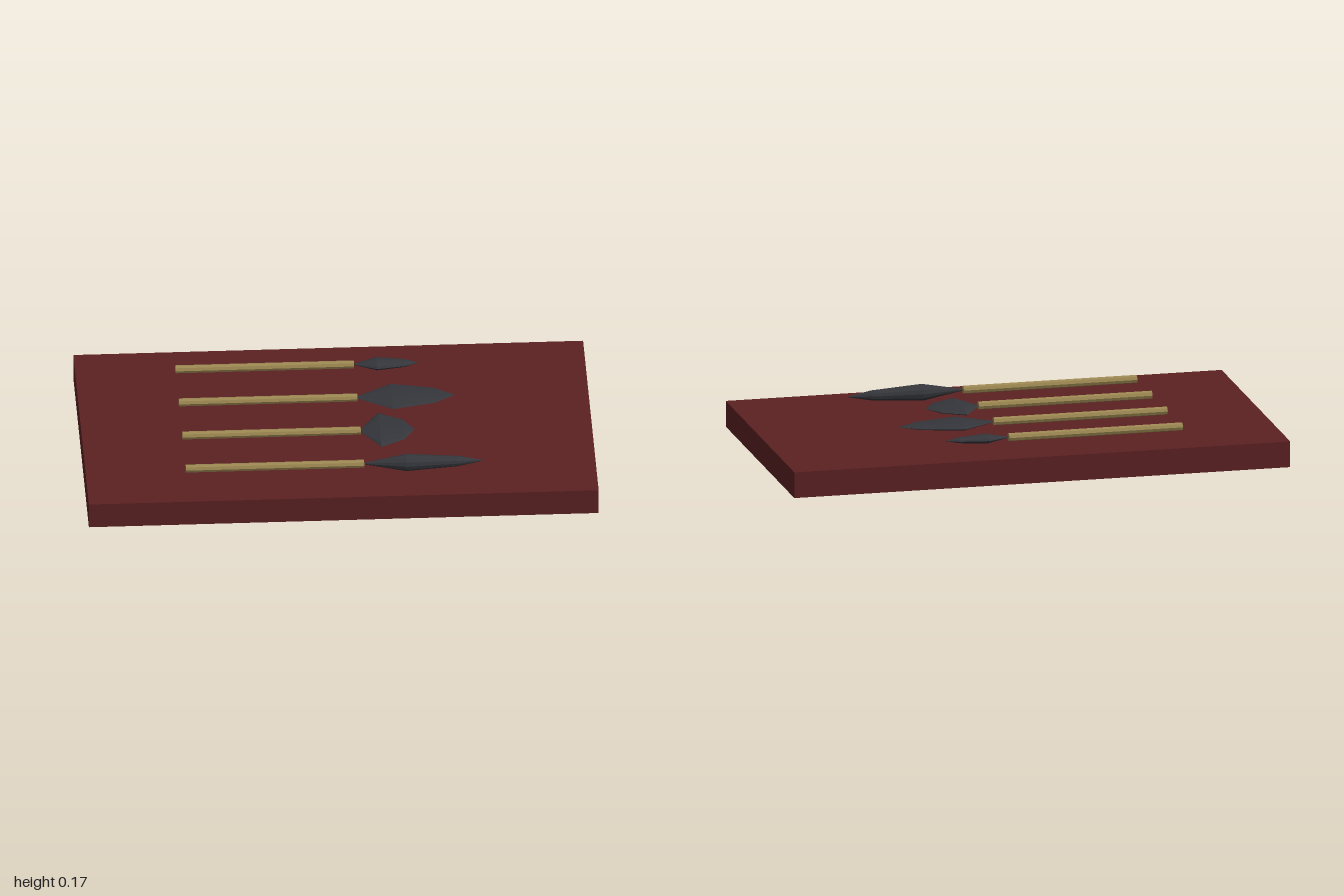
import * as THREE from 'three';

export function createModel() {
  const group = new THREE.Group();
  const mat = (name, color) => {
    const m = new THREE.MeshStandardMaterial({ color, flatShading: true });
    m.name = name;
    return m;
  };
  const boardRed = mat('dark red board', 0x5c2122);
  const wood = mat('pale wood', 0x9c8752);
  const iron = mat('dark iron', 0x34363b);

  const add = (name, geometry, material, x, y, z) => {
    const mesh = new THREE.Mesh(geometry, material);
    mesh.name = name;
    mesh.position.set(x, y, z);
    group.add(mesh);
  };

  // Display board
  add('displayBoard', new THREE.BoxGeometry(2, 0.104, 1.13), boardRed, 0, 0.052, 0);

  // Shaft and arrowhead both lie along +x
  const y = 0.141, neck = 0.09, shaftLength = 0.7;
  const shaft = new THREE.CylinderGeometry(0.0163, 0.0163, shaftLength, 8)
    .rotateZ(-Math.PI / 2);
  const profile = [[0, 0], [0.12, 0.01], [1, 0.35], [0.6, 0.78], [0, 1]]
    .map(([r, h]) => new THREE.Vector2(r, h));
  const head = new THREE.LatheGeometry(profile, 12).rotateZ(-Math.PI / 2);

  // Each arrow: z position, head length, half thickness, half width
  const arrows = [
    ['smallLeaf', -0.375, 0.255, 0.017, 0.042],
    ['broadLeaf', -0.125, 0.385, 0.014, 0.096],
    ['wideBlade', 0.125, 0.213, 0.014, 0.128],
    ['longBodkin', 0.375, 0.472, 0.034, 0.034],
  ];
  for (const [name, z, length, thick, width] of arrows) {
    add(name + 'Shaft', shaft, wood, neck - shaftLength / 2, y, z);
    add(name + 'Head', head.clone().scale(length, thick, width), iron, neck, y, z);
  }
  return group;
}
